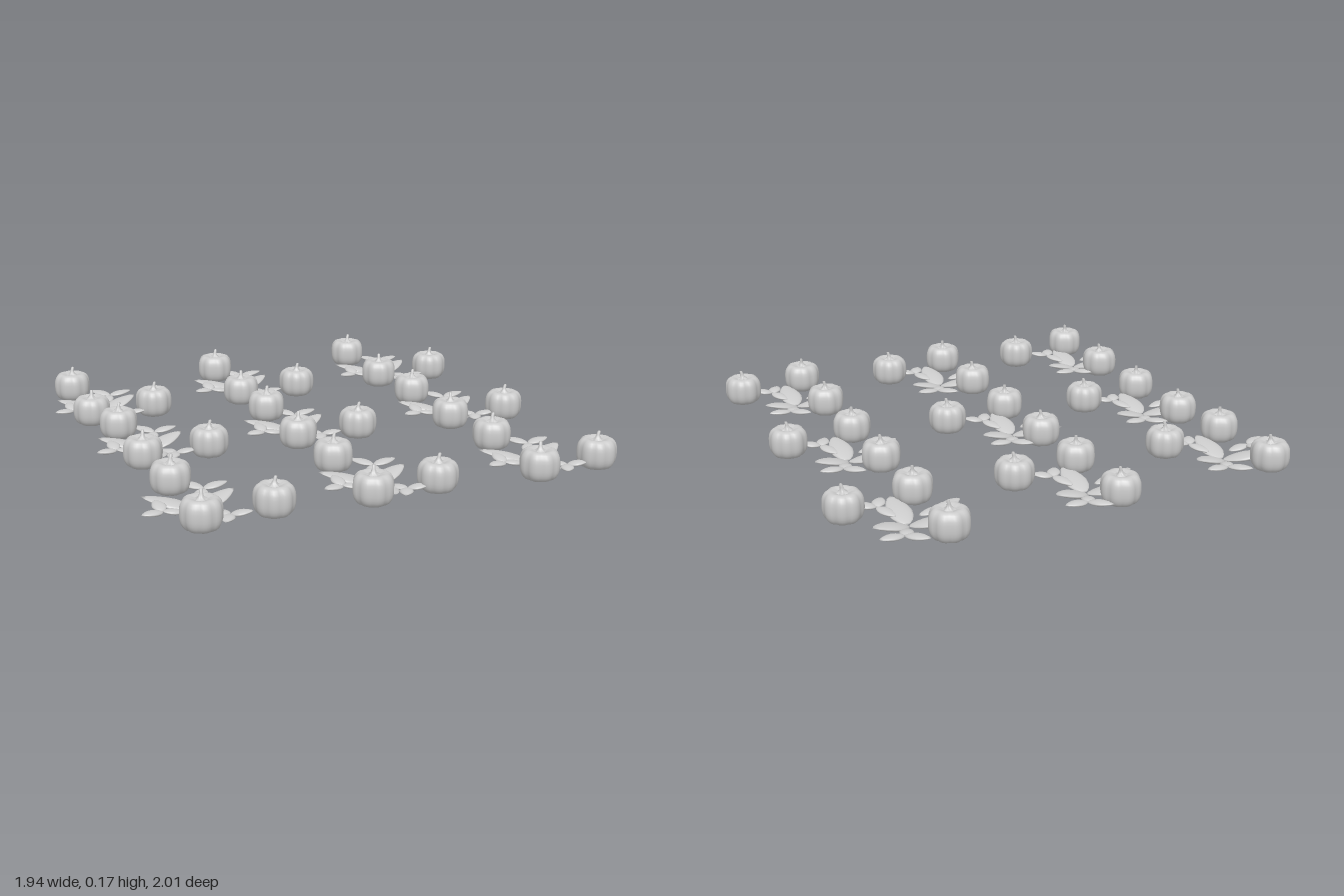
import * as THREE from 'three';
import { mergeVertices } from 'three/addons/utils/BufferGeometryUtils.js';

const material = new THREE.MeshStandardMaterial({ color: 0xcccccc });

// Lathe a profile, then swell its radius by a rule of angle and height
function lobedLathe(profile, segments, swell) {
  const geo = new THREE.LatheGeometry(profile.map(([r, y]) => new THREE.Vector2(r, y)), segments);
  const p = geo.attributes.position;
  for (let i = 0; i < p.count; i++) {
    const s = swell(Math.atan2(p.getZ(i), p.getX(i)), p.getY(i));
    p.setX(i, p.getX(i) * s);
    p.setZ(i, p.getZ(i) * s);
  }
  geo.deleteAttribute('uv');
  geo.deleteAttribute('normal');
  const merged = mergeVertices(geo, 1e-5);
  merged.computeVertexNormals();
  return merged;
}

// Ribbed pumpkin body with a dimple above and below
const bodyCurve = new THREE.SplineCurve([
  [0, 0.022], [0.02, 0.011], [0.042, 0.001], [0.062, 0.01], [0.074, 0.033], [0.077, 0.064],
  [0.074, 0.095], [0.062, 0.115], [0.044, 0.121], [0.022, 0.113], [0, 0.104],
].map(([x, y]) => new THREE.Vector2(x, y)));
const bodyProfile = bodyCurve.getPoints(22).map((v) => [Math.max(v.x, 0), v.y]);
bodyProfile[0][0] = bodyProfile[22][0] = 0;
const bodyGeometry = lobedLathe(bodyProfile, 48, (a) => 0.96 + 0.085 * Math.abs(Math.sin(a * 4)));

// Stem: a five-pointed flare at the foot, narrowing to a blunt leaning tip
const stemGeometry = lobedLathe(
  [[0.034, 0], [0.02, 0.006], [0.011, 0.014], [0.007, 0.026], [0.006, 0.04], [0, 0.042]],
  20, (a, y) => 1 + 0.35 * Math.cos(a * 5) * Math.max(0, 1 - y / 0.016));
{
  const p = stemGeometry.attributes.position;
  for (let i = 0; i < p.count; i++) p.setX(i, p.getX(i) + 4 * p.getY(i) ** 2);
  stemGeometry.computeVertexNormals();
}

// Pointed leaf blade of unit length and half-width, flattened by its mesh scale
const leafGeometry = lobedLathe(
  [[0, 0], [0.3, 0.04], [0.62, 0.13], [0.88, 0.26], [1, 0.42], [0.93, 0.58], [0.7, 0.75], [0.38, 0.9], [0, 1]],
  14, () => 1);

function makePumpkin(x, y, z, turn) {
  const pumpkin = new THREE.Group();
  pumpkin.name = 'pumpkin';
  const body = new THREE.Mesh(bodyGeometry, material);
  body.name = 'pumpkinBody';
  const stem = new THREE.Mesh(stemGeometry, material);
  stem.name = 'pumpkinStem';
  stem.position.y = 0.109;
  pumpkin.add(body, stem);
  pumpkin.position.set(x, y, z);
  pumpkin.rotation.y = turn;
  return pumpkin;
}

function makeLeaf(name, from, to, width, thickness) {
  const a = new THREE.Vector3(...from), b = new THREE.Vector3(...to);
  const along = b.clone().sub(a), length = along.length();
  along.normalize();
  const side = along.clone().cross(new THREE.Vector3(0, 1, 0)).normalize();
  const up = side.clone().cross(along);
  const leaf = new THREE.Mesh(leafGeometry, material);
  leaf.name = name;
  leaf.position.copy(a);
  leaf.quaternion.setFromRotationMatrix(new THREE.Matrix4().makeBasis(side, along, up));
  leaf.scale.set(width / 2, length, thickness / 2);
  return leaf;
}

// Three large leaves from the crown, as [base, tip, width]
const LARGE = [
  [[0, 0.014, -0.01], [0.16, 0.06, -0.07], 0.095],
  [[0, 0.014, -0.01], [-0.19, 0.06, -0.11], 0.095],
  [[0, 0.014, 0], [-0.005, 0.05, 0.205], 0.1],
];
// Sprigs of three small leaves: node, then the leaf tips
const SPRIGS = [
  [[-0.148, 0.045, 0.03], [-0.153, 0.06, -0.058], [-0.238, 0.055, 0.066], [-0.055, 0.03, 0.03]],
  [[0.064, 0.045, -0.143], [-0.005, 0.055, -0.228], [0.169, 0.055, -0.164], [0.02, 0.03, -0.068]],
  [[0.07, 0.042, 0.142], [0.026, 0.045, 0.217], [0.15, 0.055, 0.172], [0.022, 0.03, 0.05]],
];

function makeFoliage(x, z) {
  const foliage = new THREE.Group();
  foliage.name = 'foliage';
  for (const [base, tip, width] of LARGE) foliage.add(makeLeaf('largeLeaf', base, tip, width, 0.026));
  for (const [node, ...tips] of SPRIGS) {
    for (const tip of tips) foliage.add(makeLeaf('smallLeaf', node, tip, 0.055, 0.02));
  }
  foliage.position.set(x, 0, z);
  return foliage;
}

// Each plant: back pumpkin x, z, then leaf crown x, z
const PLANTS = [
  [-0.825, -0.84, -0.73, -0.635], [-0.11, -0.895, -0.05, -0.72], [0.605, -0.925, 0.69, -0.72],
  [-0.78, -0.2, -0.7, -0.02], [-0.11, -0.2, -0.053, -0.02], [0.605, -0.2, 0.69, -0.02],
  [-0.78, 0.535, -0.73, 0.725], [-0.11, 0.535, -0.018, 0.725], [0.605, 0.535, 0.69, 0.725],
];

export function createModel() {
  const model = new THREE.Group();
  model.name = 'pumpkinPatch';
  for (const [px, pz, lx, lz] of PLANTS) {
    const plant = new THREE.Group();
    plant.name = 'pumpkinPlant';
    plant.add(
      makePumpkin(px, 0.032, pz, 0.4),
      makePumpkin(px - 0.006, 0.024, pz + 0.386, 1.1),
      makePumpkin(px + 0.29, 0.017, pz + 0.335, 0),
      makeFoliage(lx, lz),
    );
    model.add(plant);
  }
  return model;
}
